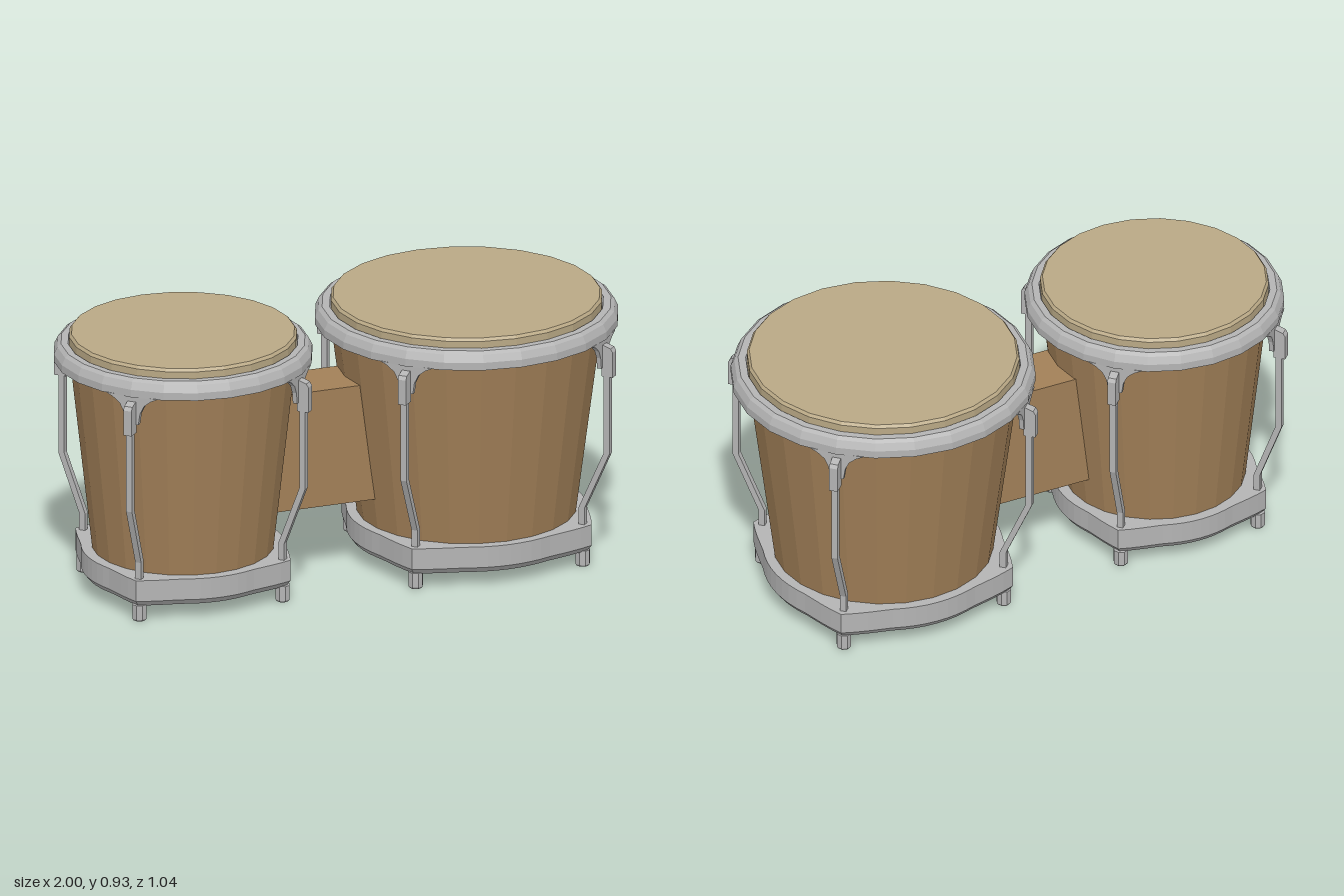
import * as THREE from 'three';

const material = (name, color) => {
  const m = new THREE.MeshStandardMaterial({ color, flatShading: true });
  m.name = name;
  return m;
};

export function createModel() {
  const wood = material('wood', 0xa28058);
  const metal = material('metal', 0xb4b4b4);
  const skin = material('skin', 0xbaa986);
  const SIDES = 24;

  const add = (parent, name, geometry, mat) => {
    const mesh = new THREE.Mesh(geometry, mat);
    mesh.name = name;
    parent.add(mesh);
    return mesh;
  };
  const points = (list) => list.map(([x, y]) => new THREE.Vector2(x, y));
  const lathe = (list, sides = SIDES) => new THREE.LatheGeometry(points(list), sides);
  // Flat outline given thickness, centred on z = 0
  const slab = (list, depth) =>
    new THREE.ExtrudeGeometry(new THREE.Shape(points(list)), { depth, bevelEnabled: false })
      .translate(0, 0, -depth / 2);

  // Base ring whose outer edge swells to a point at each of four corners
  function baseGeometry(hole, outer, reach) {
    const g = lathe([[hole, 0.055], [outer - 0.015, 0.055], [outer, 0.075],
      [outer, 0.15], [hole, 0.15], [hole, 0.055]], 64);
    const p = g.attributes.position;
    for (let i = 0; i < p.count; i++) {
      const x = p.getX(i), z = p.getZ(i);
      if (Math.hypot(x, z) < hole + 0.005) continue;
      const quarter = Math.atan2(Math.abs(z), Math.abs(x));
      const near = Math.max(0, 1 - Math.abs(quarter - Math.PI / 4) / 0.42);
      const s = 1 + (reach / outer - 1) * Math.pow(near, 1.5);
      p.setX(i, x * s);
      p.setZ(i, z * s);
    }
    g.computeVertexNormals();
    return g;
  }

  // Tension rod with its claw and foot; local +x points away from the drum
  function tuningLug(rim, footR) {
    const lug = new THREE.Group();
    lug.name = 'tuningLug';
    const rodR = rim + 0.005, w = 0.011;
    const path = [[footR, 0.14], [footR, 0.21], [rodR, 0.42], [rodR, 0.73]];
    const outline = [...path.map(([r, y]) => [r + w, y]),
      ...path.map(([r, y]) => [r - w, y]).reverse()];
    add(lug, 'tensionRod', slab(outline, 0.022), metal);

    const half = [[0.024, 0.73], [0.03, 0.77], [0.045, 0.80], [0.07, 0.82], [0.095, 0.832]];
    const claw = slab([...half, ...half.map(([x, y]) => [-x, y]).reverse()], 0.016);
    add(lug, 'clawPlate', claw.rotateY(Math.PI / 2).translate(rim - 0.016, 0, 0), metal);

    const r0 = rim - 0.012, r1 = rim + 0.03;
    add(lug, 'clawHook', slab([[r0, 0.70], [r1, 0.70], [r1, 0.79], [r1 - 0.008, 0.803],
      [r0 + 0.008, 0.812], [r0, 0.812]], 0.03), metal);

    add(lug, 'foot', lathe([[0, 0], [0.021, 0], [0.026, 0.007], [0.026, 0.058], [0, 0.058]], 8)
      .translate(footR, 0, 0), metal);
    return lug;
  }

  function drum({ name, x, rim, head, top, bottom, base, corner, footR }) {
    const g = new THREE.Group();
    g.name = name;
    g.position.x = x;
    const wall = 0.03;
    add(g, 'shell', lathe([[bottom - wall, 0.14], [bottom, 0.14], [top, 0.83], [top, 0.87],
      [top - wall, 0.87], [top - wall, 0.83], [bottom - wall, 0.14]]), wood);
    add(g, 'drumHead', lathe([[0, 0.868], [head, 0.868], [head, 0.915],
      [head - 0.008, 0.925], [0, 0.925]]), skin);
    add(g, 'rimHoop', lathe([[top - 0.008, 0.83], [rim, 0.83], [rim, 0.857], [rim - 0.012, 0.882],
      [rim - 0.025, 0.892], [head + 0.004, 0.892], [top - 0.008, 0.83]]), metal);
    add(g, 'baseRing', baseGeometry(bottom - wall + 0.003, base, corner), metal);
    for (let k = 0; k < 4; k++) {
      const lug = tuningLug(rim, footR);
      lug.rotation.y = Math.PI / 4 + k * Math.PI / 2;
      g.add(lug);
    }
    return g;
  }

  const model = new THREE.Group();
  model.name = 'bongoDrums';
  model.add(
    drum({ name: 'largeDrum', x: 0.48, rim: 0.52, head: 0.465, top: 0.465, bottom: 0.375,
      base: 0.41, corner: 0.465, footR: 0.432 }),
    drum({ name: 'smallDrum', x: -0.557, rim: 0.443, head: 0.39, top: 0.387, bottom: 0.31,
      base: 0.348, corner: 0.4, footR: 0.37 }),
  );

  // Wooden block between the shells, its ends sloped to follow them
  add(model, 'connectingBlock',
    slab([[-0.259, 0.26], [0.112, 0.26], [0.056, 0.68], [-0.213, 0.68]], 0.21), wood);
  return model;
}
